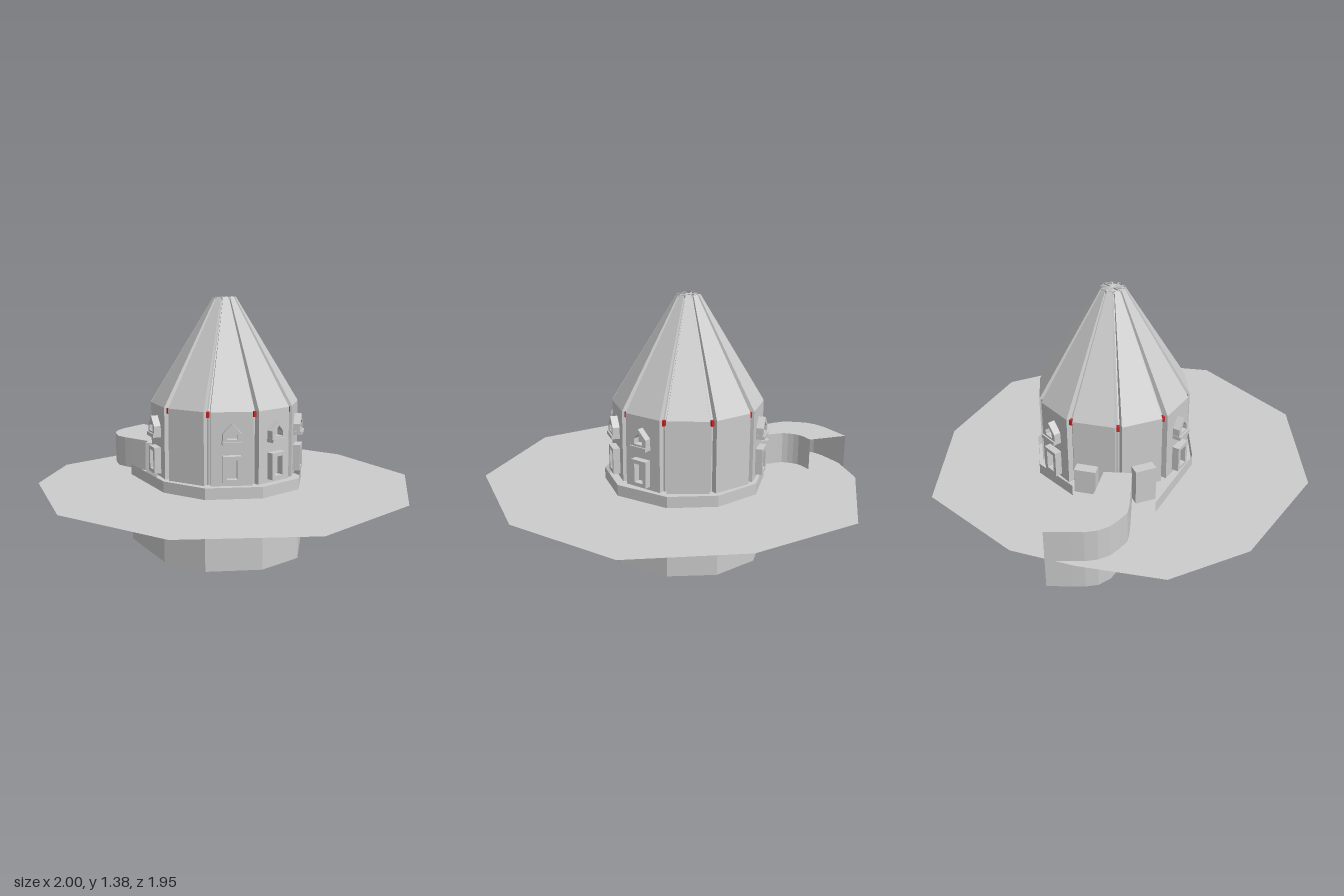
import * as THREE from 'three';

const GREY = new THREE.MeshStandardMaterial({ color: 0xcccccc, flatShading: true, side: THREE.DoubleSide });
const RED = new THREE.MeshStandardMaterial({ color: 0xcc2222, flatShading: true });
const SIDES = 10, STEP = Math.PI * 2 / SIDES;

function add(parent, name, geometry, material = GREY) {
  const mesh = new THREE.Mesh(geometry, material);
  mesh.name = name;
  parent.add(mesh);
  return mesh;
}

// Flat-shaded surface from a list of four-cornered faces
function quads(faces) {
  const pos = [];
  for (const [a, b, c, d] of faces) for (const p of [a, b, c, a, c, d]) pos.push(...p);
  const g = new THREE.BufferGeometry();
  g.setAttribute('position', new THREE.Float32BufferAttribute(pos, 3));
  g.computeVertexNormals();
  return g;
}

// One side of the tower: wall and roof gore, with returns into the grooves
function panelGeometry() {
  const rows = [[0.44, 0.107, 0.385], [0.82, 0.107, 0.385], [1.38, 0.013, 0.058]].map(([y, w, z], i) => {
    const d = i === 2 ? 0.012 : 0.035;
    return [[-w, y, z - d], [-w, y, z], [w, y, z], [w, y, z - d]];
  });
  const faces = [];
  for (let r = 0; r < 2; r++)
    for (let c = 0; c < 3; c++)
      faces.push([rows[r][c], rows[r][c + 1], rows[r + 1][c + 1], rows[r + 1][c]]);
  return quads(faces);
}

// Extruded outline with an opening cut through it
function frameGeometry(outer, inner, depth) {
  const v = pts => pts.map(([x, y]) => new THREE.Vector2(x, y));
  const shape = new THREE.Shape(v(outer));
  shape.holes.push(new THREE.Path(v(inner)));
  return new THREE.ExtrudeGeometry(shape, { depth, bevelEnabled: false });
}
const gable = (w, y0, y1, y2) => [[-w, y0], [w, y0], [w, y1], [0, y2], [-w, y1]];
const rect = (w, y0, y1) => [[-w, y0], [w, y0], [w, y1], [-w, y1]];

function buildTower() {
  const tower = new THREE.Group();
  tower.name = 'tower';
  tower.position.set(0.05, 0, -0.08);

  // Recessed core seen in the grooves between panels
  const core = add(tower, 'coreWall', new THREE.CylinderGeometry(0.372, 0.372, 0.38, SIDES, 1, true, STEP / 2));
  core.position.y = 0.63;
  const cone = add(tower, 'coreRoof', new THREE.CylinderGeometry(0.052, 0.372, 0.56, SIDES, 1, true, STEP / 2));
  cone.position.y = 1.1;

  const panel = panelGeometry();
  const upper = frameGeometry(gable(0.048, 0.655, 0.715, 0.765), gable(0.026, 0.685, 0.712, 0.74), 0.042);
  const lower = frameGeometry(rect(0.046, 0.46, 0.6), rect(0.026, 0.48, 0.58), 0.042);
  const windowed = [0, 1, 4, 7, 9];
  for (let i = 0; i < SIDES; i++) {
    const side = new THREE.Group();
    side.name = 'towerSide';
    side.rotation.y = i * STEP;
    tower.add(side);
    add(side, 'wallAndRoofPanel', panel);
    if (windowed.includes(i)) {
      add(side, 'gabledWindowFrame', upper).position.z = 0.38;
      add(side, 'windowSill', new THREE.BoxGeometry(0.1, 0.02, 0.05)).position.set(0, 0.665, 0.405);
      add(side, 'lowerWindowFrame', lower).position.z = 0.38;
    }
    // Small red lamp under the eave in each groove
    const lamp = new THREE.Group();
    lamp.rotation.y = STEP / 2;
    side.add(lamp);
    add(lamp, 'eaveLamp', new THREE.BoxGeometry(0.014, 0.028, 0.02), RED).position.set(0, 0.805, 0.382);
  }

  // Porch blocks above the stair entrance
  for (const [angle, x, y0] of [[5, -0.035, 0.44], [6, 0, 0.37]]) {
    const porch = new THREE.Group();
    porch.rotation.y = angle * STEP;
    tower.add(porch);
    add(porch, 'porchBlock', new THREE.BoxGeometry(0.11, 0.575 - y0, 0.06))
      .position.set(x, (0.575 + y0) / 2, 0.41);
  }

  // Chimney cap with a spoked grate
  add(tower, 'capRing', new THREE.CylinderGeometry(0.062, 0.062, 0.014, SIDES, 1, true, STEP / 2)).position.y = 1.373;
  add(tower, 'capPlate', new THREE.CylinderGeometry(0.058, 0.058, 0.004, SIDES)).position.y = 1.37;
  for (let i = 0; i < 5; i++) {
    const bar = add(tower, 'capSpoke', new THREE.BoxGeometry(0.116, 0.008, 0.006));
    bar.position.y = 1.376;
    bar.rotation.y = i * STEP / 1;
  }
  return tower;
}

// Thin foundation wall, left open at the back by the stair
function buildBase() {
  const pts = [[0.165, -0.48], [0.39, -0.34], [0.48, -0.1], [0.42, 0.15], [0.195, 0.345],
    [-0.07, 0.35], [-0.31, 0.18], [-0.38, -0.07], [-0.275, -0.51]];
  const faces = [];
  for (let i = 0; i < pts.length - 1; i++) {
    const [a, b] = [pts[i], pts[i + 1]];
    faces.push([[a[0], 0, a[1]], [b[0], 0, b[1]], [b[0], 0.44, b[1]], [a[0], 0.44, a[1]]]);
  }
  return quads(faces);
}

// Covered curving stair: steps between two walls under a flat roof
function buildStair() {
  const stair = new THREE.Group();
  stair.name = 'coveredStair';
  const path = pts => new THREE.CatmullRomCurve3(
    pts.map(([x, z]) => new THREE.Vector3(x, 0, z)), false, 'catmullrom', 0.2).getSpacedPoints(12);
  const outer = path([[-0.14, -0.45], [-0.195, -0.743], [-0.13, -0.88], [-0.05, -0.93], [0.147, -0.977]]);
  const inner = path([[0, -0.475], [0, -0.66], [0.03, -0.71], [0.07, -0.743], [0.147, -0.76]]);
  const at = (p, y) => [p.x, y, p.z];
  const tread = i => 0.37 - 0.0125 * i;
  const under = i => Math.max(0.22, 0.355 - 0.0175 * i);
  const steps = [], walls = [], roof = [];
  for (let i = 0; i < 12; i++) {
    const [o, p, n, q] = [outer[i], outer[i + 1], inner[i], inner[i + 1]];
    const y = tread(i), next = i < 11 ? tread(i + 1) : 0.22;
    steps.push([at(o, y), at(p, y), at(q, y), at(n, y)]);
    steps.push([at(p, y), at(p, next), at(q, next), at(q, y)]);
    steps.push([at(o, under(i)), at(n, under(i)), at(q, under(i + 1)), at(p, under(i + 1))]);
    walls.push([at(o, under(i)), at(p, under(i + 1)), at(p, 0.555), at(o, 0.555)]);
    walls.push([at(q, under(i + 1)), at(n, under(i)), at(n, 0.555), at(q, 0.555)]);
    roof.push([at(o, 0.555), at(p, 0.555), at(q, 0.555), at(n, 0.555)]);
  }
  add(stair, 'stairSteps', quads(steps));
  add(stair, 'stairWalls', quads(walls));
  add(stair, 'stairRoof', quads(roof));
  return stair;
}

export function createModel() {
  const model = new THREE.Group();
  model.name = 'roundTower';

  // Irregular flat ground sheet
  const outline = [[-1, -0.08], [-0.77, -0.68], [-0.43, -0.96], [0, -0.975], [0.33, -0.95], [0.86, -0.67],
    [1, -0.08], [0.88, 0.52], [0.38, 0.92], [-0.29, 0.97], [-0.83, 0.56]];
  const sheet = new THREE.ShapeGeometry(new THREE.Shape(outline.map(([x, z]) => new THREE.Vector2(x, -z))));
  sheet.rotateX(-Math.PI / 2);
  add(model, 'groundSheet', sheet).position.y = 0.38;

  add(model, 'foundationWall', buildBase());
  model.add(buildTower(), buildStair());
  return model;
}
